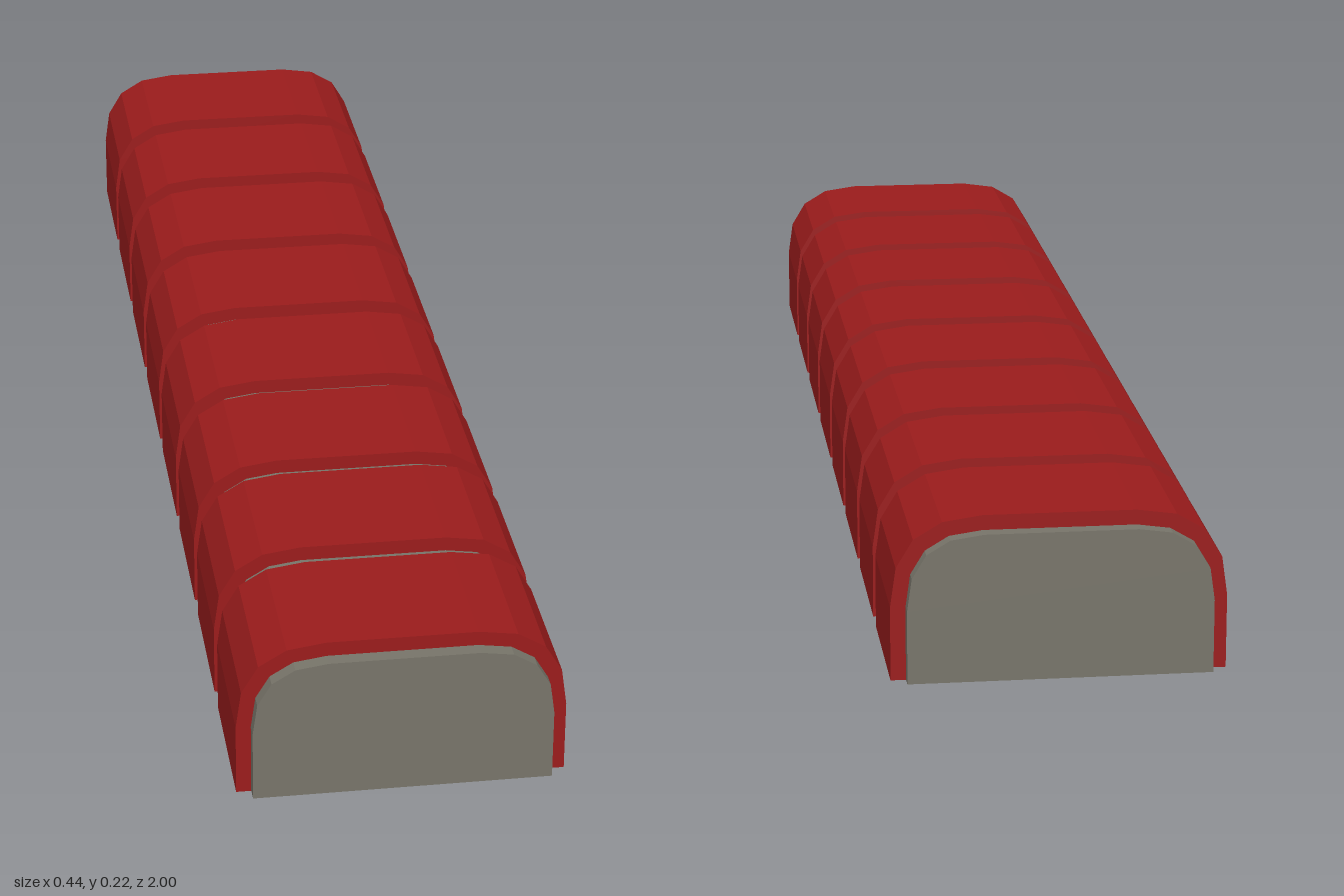
import * as THREE from 'three';

const CORNER_START = 0.1; // height and half-width where the shoulder curve begins

// Arch-topped bar, centred on z, with softly curved upper shoulders
function archedBlock(halfWidth, height, depth, bottom = 0) {
  const s = new THREE.Shape();
  s.moveTo(-halfWidth, bottom);
  s.lineTo(halfWidth, bottom);
  s.lineTo(halfWidth, CORNER_START);
  s.quadraticCurveTo(halfWidth, height, CORNER_START, height);
  s.lineTo(-CORNER_START, height);
  s.quadraticCurveTo(-halfWidth, height, -halfWidth, CORNER_START);
  s.closePath();
  const geometry = new THREE.ExtrudeGeometry(s, { depth, bevelEnabled: false, curveSegments: 4 });
  return geometry.translate(0, 0, -depth / 2);
}

export function createModel() {
  const group = new THREE.Group();
  group.name = 'brickCourse';
  const mortarMaterial = new THREE.MeshStandardMaterial({ color: 0x78756a });
  const brickMaterial = new THREE.MeshStandardMaterial({ color: 0x9b1c1c });

  // Mortar core, lifted a hair so its underside does not clash with the bricks
  const core = new THREE.Mesh(archedBlock(0.2, 0.2, 2, 0.001), mortarMaterial);
  core.name = 'mortarCore';
  group.add(core);

  // Row of eight bricks with even mortar gaps
  const count = 8;
  const pitch = 2 / count;
  const brickGeometry = archedBlock(0.22, 0.22, pitch - 0.04);
  for (let i = 0; i < count; i++) {
    const brick = new THREE.Mesh(brickGeometry, brickMaterial);
    brick.name = `brick${i + 1}`;
    brick.position.z = 1 - pitch * (i + 0.5);
    group.add(brick);
  }
  return group;
}
